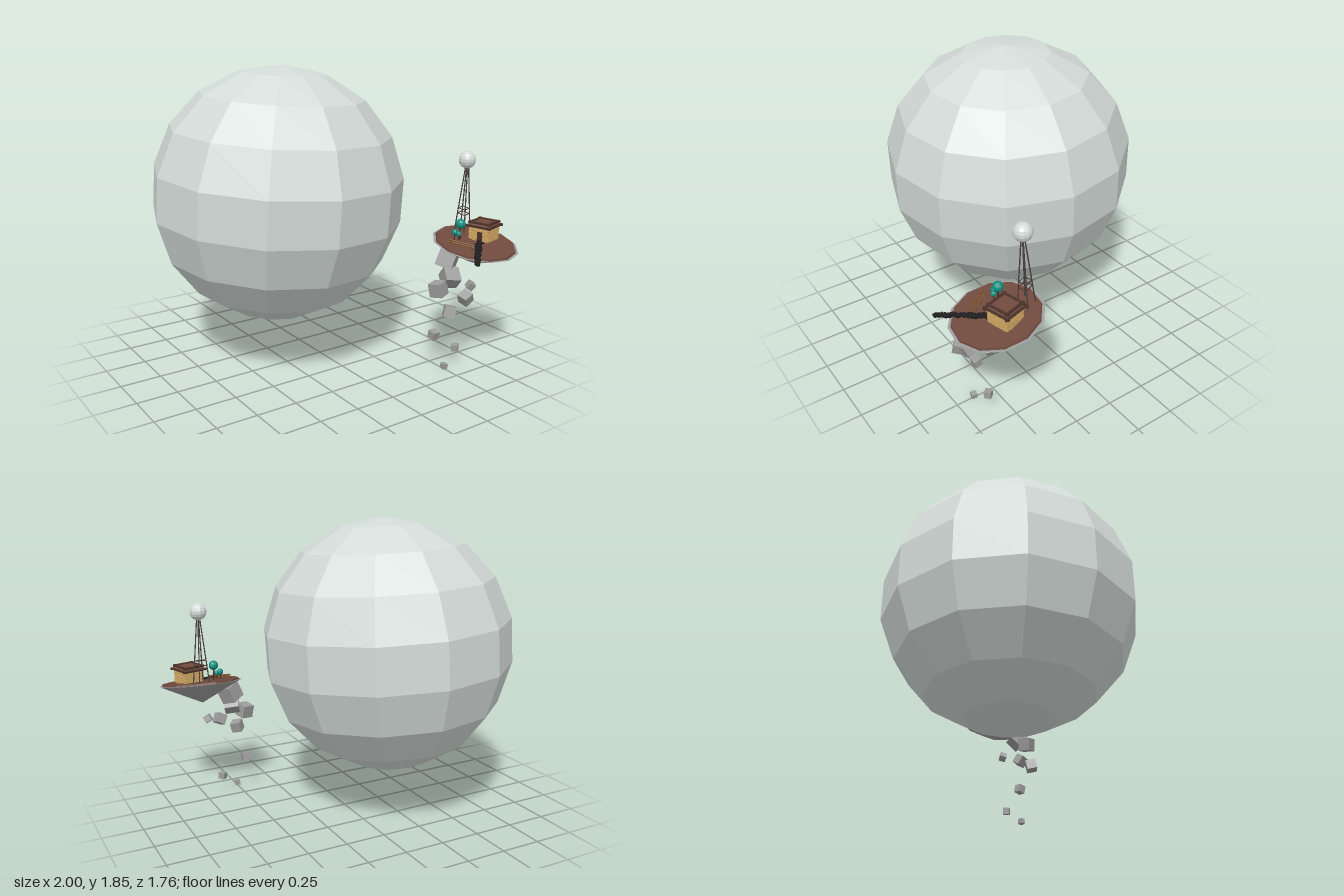
import * as THREE from 'three';

const mat = (color) => new THREE.MeshStandardMaterial({ color, flatShading: true });
const PALE = mat(0xd3dbd8), ROCK = mat(0x9c9c9c), SOIL = mat(0x704a3e), BARK = mat(0x4a3026);
const STEEL = mat(0x4a4040), STONE = mat(0xd2a863), LEAF = mat(0x0f8f80), BLACK = mat(0x1e1e1e), RAIL = mat(0x80552c);

// Island plate: centre and forward tilt
const C = new THREE.Vector3(0.735, 0.772, 0.618), TILT = 0.192;
const ground = (x, z) => C.y + 0.012 - (z - C.z) * Math.tan(TILT);
const v = (x, y, z) => new THREE.Vector3(x, y, z);

let seed = 7;
const rnd = () => (seed = (seed * 16807) % 2147483647) / 2147483647;

function add(parent, name, geo, material, x = 0, y = 0, z = 0) {
  const m = new THREE.Mesh(geo, material);
  m.name = name;
  m.position.set(x, y, z);
  parent.add(m);
  return m;
}

// Straight rod between two points
function rod(parent, name, a, b, r, material, sides = 5) {
  const d = b.clone().sub(a);
  const m = add(parent, name, new THREE.CylinderGeometry(r, r, d.length(), sides), material);
  m.position.copy(a).addScaledVector(d, 0.5);
  m.quaternion.setFromUnitVectors(v(0, 1, 0), d.normalize());
  return m;
}

function group(parent, name, x = 0, y = 0, z = 0) {
  const g = new THREE.Group();
  g.name = name;
  g.position.set(x, y, z);
  parent.add(g);
  return g;
}

function makeIsland(root) {
  const g = group(root, 'island', C.x, C.y, C.z);
  g.rotation.x = TILT;
  const cone = new THREE.ConeGeometry(0.266, 0.132, 12).rotateX(Math.PI).rotateY(0.1);
  add(g, 'rockBase', cone, ROCK, 0, -0.066, 0);
  add(g, 'soilTop', new THREE.CylinderGeometry(0.247, 0.25, 0.012, 12).rotateY(0.1), SOIL, 0, 0.006, 0);
}

function makeTower(root) {
  const g = group(root, 'tower');
  const top = v(0.775, 1.23, 0.48), base = v(0.78, 0, 0.457);
  const legs = [];
  for (let i = 0; i < 4; i++) {
    const a = i * Math.PI / 2 + 0.5;
    const x = base.x + 0.052 * Math.cos(a), z = base.z + 0.048 * Math.sin(a);
    const foot = v(x, ground(x, z) - 0.01, z);
    const head = v(top.x + 0.009 * Math.cos(a), top.y, top.z + 0.009 * Math.sin(a));
    legs.push([foot, head]);
    rod(g, 'towerLeg', foot, head, 0.004, STEEL);
  }
  // Cross braces between neighbouring legs
  legs.forEach(([f, h], i) => {
    const [f2, h2] = legs[(i + 1) % 4];
    for (const t of [0.28, 0.36])
      rod(g, 'towerBrace', f.clone().lerp(h, t), f2.clone().lerp(h2, t), 0.003, BARK);
  });
  add(g, 'towerBall', new THREE.SphereGeometry(0.054, 12, 9), PALE, 0.775, 1.268, 0.479);
}

function makeHouse(root) {
  const g = group(root, 'house', 0.812, 0.785, 0.612);
  g.rotation.y = 0.27;
  add(g, 'houseCore', new THREE.BoxGeometry(0.118, 0.09, 0.118), BARK, 0, 0.045, 0);
  // Stone courses on the four walls
  for (let side = 0; side < 4; side++) {
    const wall = group(g, 'stoneWall');
    wall.rotation.y = side * Math.PI / 2;
    for (let r = 0; r < 5; r++) for (let c = 0; c < 5; c++) {
      const x = (c - 2) * 0.025 + (r % 2 ? 0.005 : -0.005);
      const s = add(wall, 'stone', new THREE.BoxGeometry(0.023, 0.017, 0.012), STONE, x, 0.009 + r * 0.0185, 0.06 + rnd() * 0.004);
      s.rotation.z = (rnd() - 0.5) * 0.25;
    }
  }
  add(g, 'door', new THREE.BoxGeometry(0.012, 0.06, 0.035), BARK, -0.064, 0.03, 0.01);
  // Low roof with log edges
  const roof = new THREE.CylinderGeometry(0.085, 0.108, 0.022, 4).rotateY(Math.PI / 4);
  add(g, 'roof', roof, SOIL, 0, 0.1, 0);
  for (const s of [-1, 1]) {
    for (const [o, y] of [[0.074, 0.091], [0.062, 0.112]]) {
      rod(g, 'roofLog', v(-o - 0.012, y, s * o), v(o + 0.012, y, s * o), 0.008, BARK, 6);
      rod(g, 'roofLog', v(s * o, y, -o - 0.012), v(s * o, y, o + 0.012), 0.008, BARK, 6);
    }
  }
}

function makeTrees(root) {
  for (const [x, y, z, r] of [[0.663, 0.893, 0.56, 0.031], [0.62, 0.846, 0.557, 0.02], [0.638, 0.836, 0.572, 0.017]]) {
    const g = group(root, 'tree');
    rod(g, 'trunk', v(x, ground(x, z) - 0.01, z), v(x, y, z), r * 0.17, BARK);
    add(g, 'crown', new THREE.SphereGeometry(r, 10, 8), LEAF, x, y, z);
  }
}

function makeFence(root) {
  const g = group(root, 'fence');
  const pt = (t, off, h) => {
    const x = 0.545 + t * 0.075 + off, z = 0.594 + t * 0.116 - off * 0.6;
    return v(x, ground(x, z) + h, z);
  };
  for (const off of [0, 0.025]) {
    for (const t of [0.05, 0.5, 0.95]) rod(g, 'fencePost', pt(t, off, -0.01), pt(t, off, 0.024), 0.005, RAIL);
    rod(g, 'fenceRail', pt(-0.05, off, 0.018), pt(1.05, off, 0.018), 0.005, RAIL);
  }
}

// Dark, ragged path running from the house over the rim
function makePath(root) {
  const g = group(root, 'path');
  const n = 26;
  for (let i = 0; i < n; i++) {
    const t = i / (n - 1);
    const x = 0.75 - t * 0.245 + (rnd() - 0.5) * 0.012, z = 0.64 + t * 0.225 + (rnd() - 0.5) * 0.012;
    const w = 0.036 - t * 0.012;
    const s = add(g, 'pathStone', new THREE.BoxGeometry(w, 0.014, w * 0.8), BLACK, x, ground(x, z) + 0.004, z);
    s.rotation.set(TILT, rnd() * 3, 0);
  }
}

function makeRocks(root) {
  // x, y, z, size of each falling block
  const blocks = [
    [0.55, 0.69, 0.575, 0.105], [0.525, 0.594, 0.63, 0.095], [0.433, 0.538, 0.63, 0.083],
    [0.69, 0.513, 0.64, 0.045], [0.583, 0.476, 0.71, 0.066], [0.465, 0.41, 0.7, 0.068],
    [0.454, 0.223, 0.582, 0.05], [0.615, 0.107, 0.605, 0.042], [0.5, 0.023, 0.635, 0.033],
  ];
  const g = group(root, 'fallingRocks');
  blocks.forEach(([x, y, z, s], i) => {
    const b = add(g, 'rockBlock', new THREE.BoxGeometry(s, s, s), ROCK, x, y, z);
    const k = i < 6 ? 1 : 0.3;
    b.rotation.set(0.3 * k, 0.5 + i * 0.7, 0.45 * k * (i % 2 ? 1 : -1));
  });
}

export function createModel() {
  const root = new THREE.Group();
  root.name = 'floatingIsland';
  // Great faceted globe with a slightly leaning axis
  const globe = new THREE.SphereGeometry(0.776, 12, 9).rotateY(-0.088);
  add(root, 'globe', globe, PALE, -0.232, 1.075, -0.118)
    .quaternion.setFromUnitVectors(v(0, 1, 0), v(0.04, 1, 0.045).normalize());
  makeIsland(root);
  makeTower(root);
  makeHouse(root);
  makeTrees(root);
  makeFence(root);
  makePath(root);
  makeRocks(root);
  return root;
}
